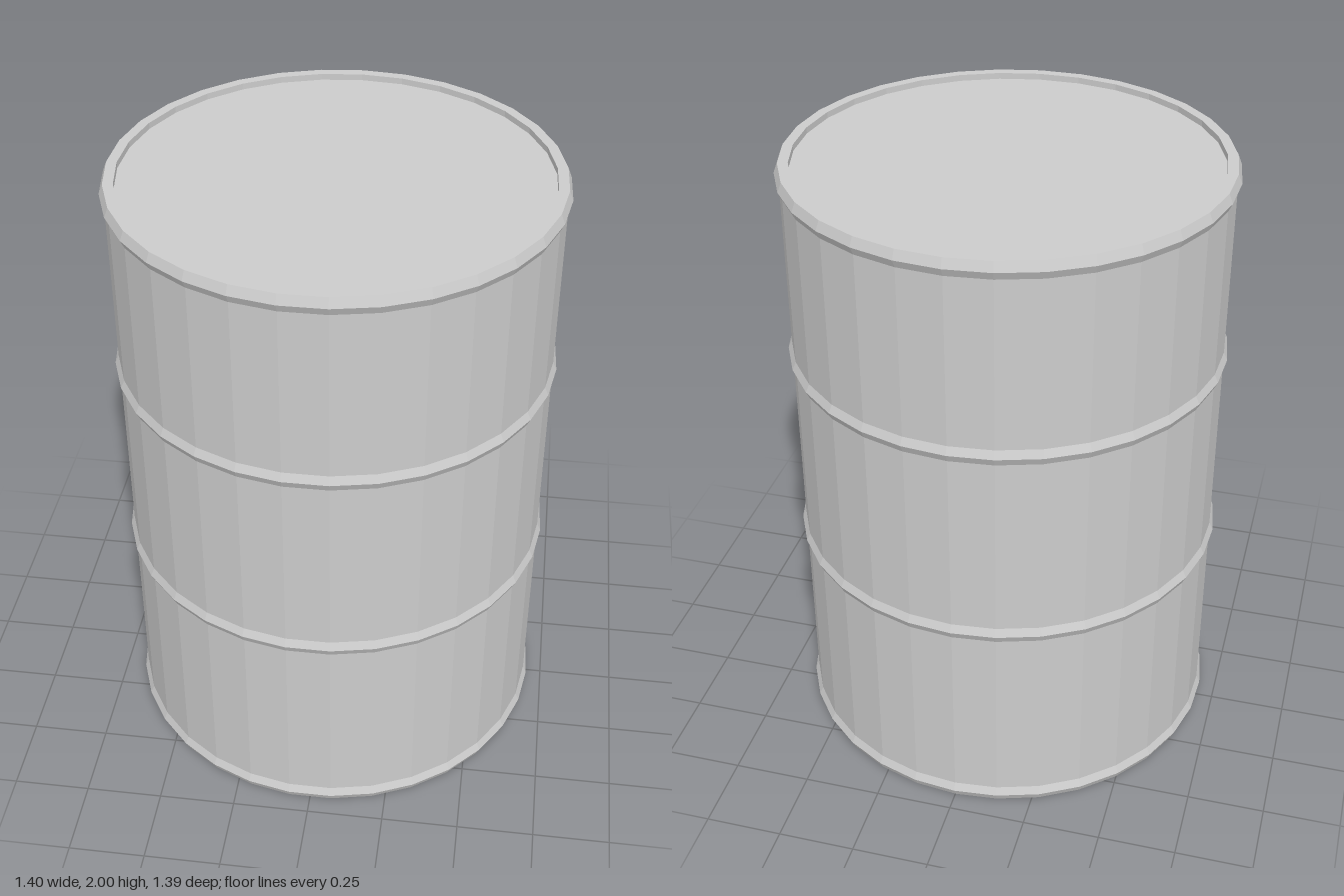
import * as THREE from 'three';

const SIDES = 31;
const BODY_R = 0.687, HOOP_R = 0.699, LID_R = 0.655;
const HOOP_HALF = 0.026, LID_Y = 1.98;

export function createModel() {
  const drum = new THREE.Group();
  drum.name = 'drum';
  const material = new THREE.MeshStandardMaterial({ color: 0xcccccc, flatShading: true });

  const add = (name, geometry, y = 0) => {
    const mesh = new THREE.Mesh(geometry, material);
    mesh.name = name;
    mesh.position.set(0, y, 0.002); // centres the odd-sided ring
    drum.add(mesh);
  };
  // Every ring has a corner at the back
  const lathe = (points) =>
    new THREE.LatheGeometry(points.map(([r, y]) => new THREE.Vector2(r, y)), SIDES, Math.PI);

  // Wall with pointed hoops: bottom chime, two rolling hoops, top chime
  const profile = [];
  for (const y of [HOOP_HALF, 0.708, 1.37, 2 - 0.03]) {
    const top = Math.min(2, y + (y > 1.9 ? 0.03 : HOOP_HALF));
    profile.push([BODY_R, y - HOOP_HALF], [HOOP_R, y], [BODY_R, top]);
  }
  add('wall', lathe(profile));

  // Flat rim and the short step down to the lid
  add('rim', lathe([[BODY_R, 2], [LID_R, 2], [LID_R, LID_Y]]));

  // Recessed lid and flat base
  add('lid', new THREE.CircleGeometry(LID_R, SIDES, Math.PI / 2).rotateX(-Math.PI / 2), LID_Y);
  add('base', new THREE.CircleGeometry(BODY_R, SIDES, -Math.PI / 2).rotateX(Math.PI / 2));

  return drum;
}
